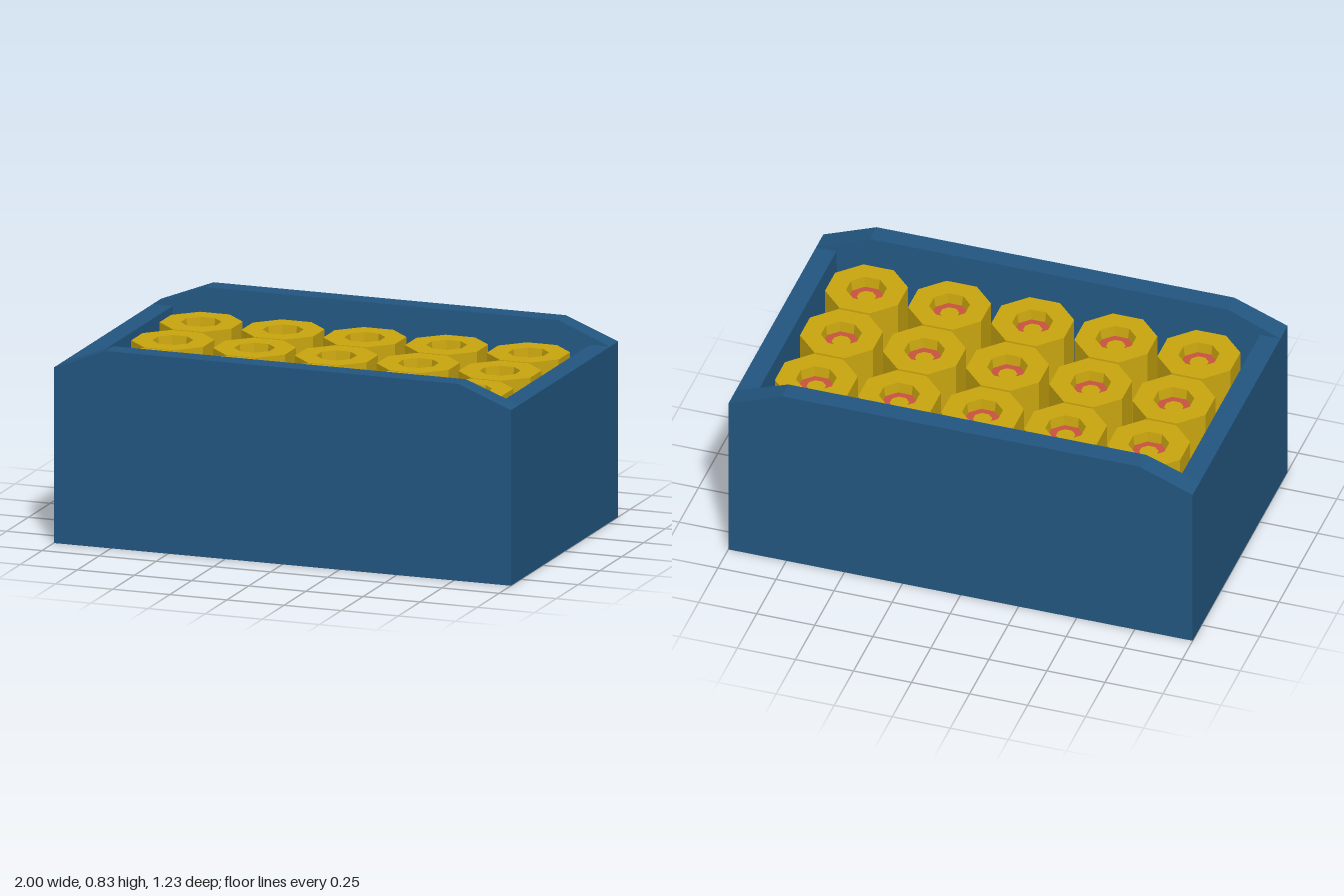
import * as THREE from 'three';

const mat = (name, color) => {
  const m = new THREE.MeshStandardMaterial({ color, side: THREE.DoubleSide, flatShading: true });
  m.name = name;
  return m;
};

const FLOOR = 0.4, RIM = 0.74, TOP = 0.83;
// the inner faces lean outwards slightly as they rise
const innerZ = y => 0.488 + (y - FLOOR) * 0.095;
const innerX = y => 0.892 + (y - FLOOR) * 0.06;

// flat outline whose points are moved into place by a rule
function panel(points, place) {
  const g = new THREE.ShapeGeometry(new THREE.Shape(points.map(p => new THREE.Vector2(...p))));
  const a = g.attributes.position;
  for (let i = 0; i < a.count; i++) a.setXYZ(i, ...place(a.getX(i), a.getY(i)));
  g.computeVertexNormals();
  return g;
}

// four-cornered face
function quad(...corners) {
  const g = new THREE.BufferGeometry();
  g.setAttribute('position', new THREE.Float32BufferAttribute(corners.flat(), 3));
  g.setIndex([0, 1, 2, 0, 2, 3]);
  g.computeVertexNormals();
  return g;
}

// eight-sided turned part with flats facing the axes
const turned = pts => new THREE.LatheGeometry(pts.map(p => new THREE.Vector2(...p)), 8, Math.PI / 8);

export function createModel() {
  const model = new THREE.Group();
  const blue = mat('blue case', 0x225680);
  const dark = mat('dark floor', 0x0e2b40);
  const gold = mat('gold', 0xc9a50f);
  const red = mat('red', 0xc8523f);
  const grey = mat('dark grey', 0x505050);

  const add = (parent, name, geometry, material) => {
    const mesh = new THREE.Mesh(geometry, material);
    mesh.name = name;
    parent.add(mesh);
    return mesh;
  };

  // case: open below, hollow tray above
  const box = new THREE.Group();
  box.name = 'case';
  model.add(box);
  const crest = [[-1, RIM], [-0.77, TOP], [0.77, TOP], [1, RIM]];
  const ix = innerX(RIM), fx = innerX(FLOOR), iz = innerZ(RIM), fz = innerZ(FLOOR);
  for (const s of [1, -1]) {
    const end = s > 0 ? 'front' : 'back';
    const side = s > 0 ? 'left' : 'right';
    // long walls
    add(box, end + 'OuterWall', panel([[1, 0], [-1, 0], ...crest], (x, y) => [s * x, y, s * 0.615]), blue);
    add(box, end + 'InnerWall',
      panel([[-fx, FLOOR], [-ix, RIM], ...crest, [ix, RIM], [fx, FLOOR]], (x, y) => [-s * x, y, s * innerZ(y)]), blue);
    for (let i = 0; i < 3; i++) {
      const [x0, y0] = crest[i], [x1, y1] = crest[i + 1];
      add(box, end + 'Rim', quad([s * x0, y0, s * 0.615], [s * x1, y1, s * 0.615],
        [s * x1, y1, s * innerZ(y1)], [s * x0, y0, s * innerZ(y0)]), blue);
    }
    // short walls
    add(box, side + 'OuterWall', quad([s, 0, s * 0.615], [s, 0, -s * 0.615], [s, RIM, -s * 0.615], [s, RIM, s * 0.615]), blue);
    add(box, side + 'InnerWall', quad([s * fx, FLOOR, -s * fz], [s * fx, FLOOR, s * fz],
      [s * ix, RIM, s * iz], [s * ix, RIM, -s * iz]), blue);
    add(box, side + 'Rim', quad([s, RIM, s * iz], [s, RIM, -s * iz], [s * ix, RIM, -s * iz], [s * ix, RIM, s * iz]), blue);
  }
  add(box, 'trayFloor', quad([-fx, FLOOR, fz], [fx, FLOOR, fz], [fx, FLOOR, -fz], [-fx, FLOOR, -fz]), dark);

  // canisters: gold body with a recess, red ring, gold pin and grey foot
  const body = turned([[0.17, FLOOR], [0.17, 0.735], [0.084, 0.735], [0.077, 0.69]]);
  const ring = turned([[0.077, 0.69], [0.038, 0.69]]);
  const pin = turned([[0.04, 0.69], [0.04, 0.696], [0, 0.696]]);
  const foot = turned([[0, FLOOR - 0.01], [0.15, FLOOR - 0.01], [0.15, 0.15]]);
  for (let i = -2; i <= 2; i++) {
    for (let j = -1; j <= 1; j++) {
      const canister = new THREE.Group();
      canister.name = 'canister';
      canister.position.set(i * 0.358, 0, j * 0.325 - 0.005);
      add(canister, 'body', body, gold);
      add(canister, 'ring', ring, red);
      add(canister, 'pin', pin, gold);
      add(canister, 'foot', foot, grey);
      model.add(canister);
    }
  }
  return model;
}
